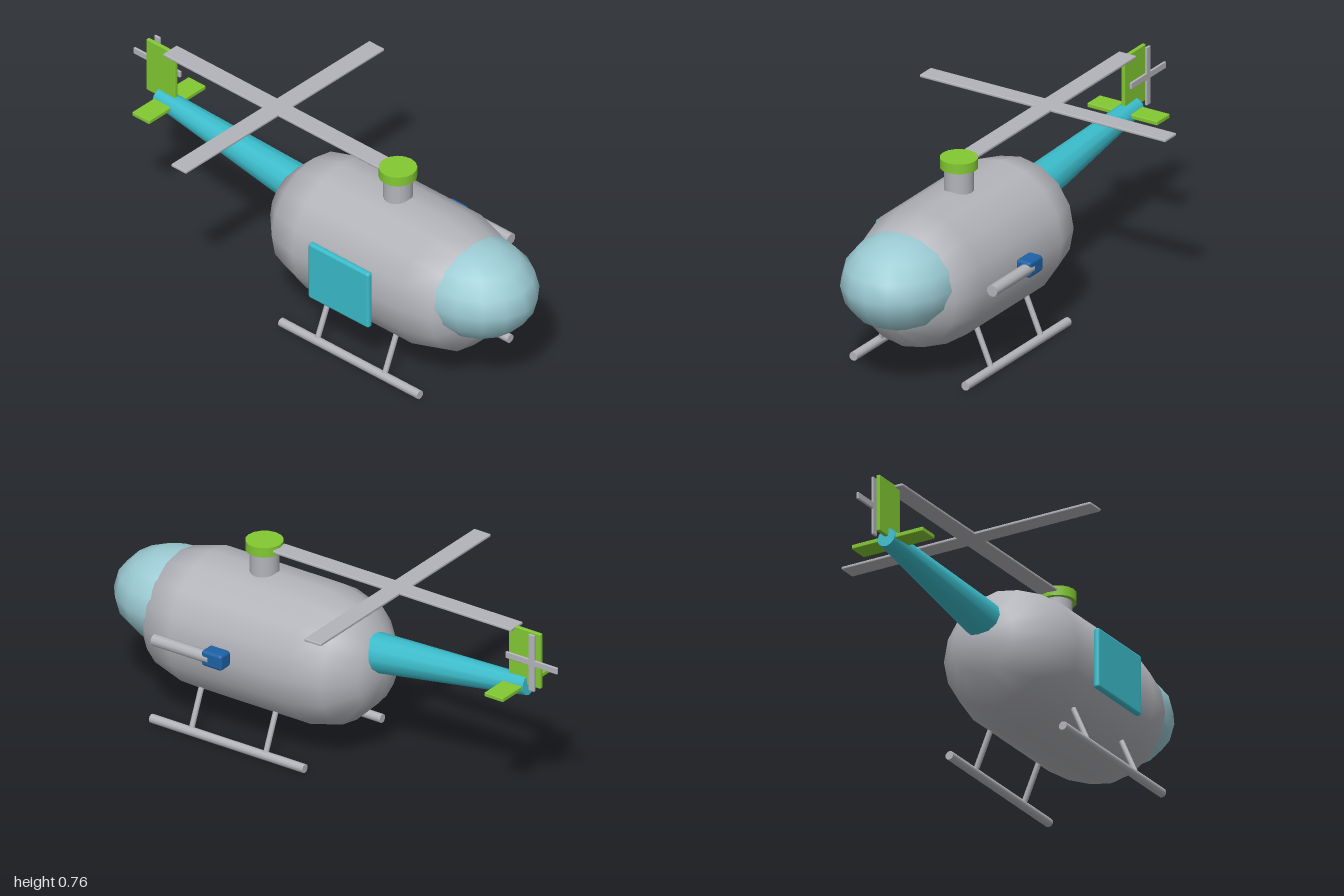
import * as THREE from 'three';
import { RoundedBoxGeometry } from 'three/addons/geometries/RoundedBoxGeometry.js';

const paint = (name, color) => {
  const m = new THREE.MeshStandardMaterial({ color });
  m.name = name;
  return m;
};

export function createModel() {
  const grey = paint('grey', 0xb3b4ba);
  const cyan = paint('cyan', 0x3bbccb);
  const glass = paint('pale blue glass', 0x9ccbd4);
  const green = paint('lime green', 0x82c832);
  const blue = paint('deep blue', 0x1d62a6);

  const model = new THREE.Group();
  model.name = 'helicopter';

  const add = (name, geometry, material, x = 0, y = 0, z = 0, parent = model) => {
    const mesh = new THREE.Mesh(geometry, material);
    mesh.name = name;
    mesh.position.set(x, y, z);
    parent.add(mesh);
    return mesh;
  };

  // Cylinder or cone running from point a to point b
  const rod = (name, material, a, b, ra, rb = ra, sides = 12, parent = model) => {
    const from = new THREE.Vector3(...a), to = new THREE.Vector3(...b);
    const dir = to.clone().sub(from);
    const mid = from.clone().add(to).multiplyScalar(0.5);
    const geometry = new THREE.CylinderGeometry(rb, ra, dir.length(), sides);
    const mesh = add(name, geometry, material, mid.x, mid.y, mid.z, parent);
    mesh.quaternion.setFromUnitVectors(new THREE.Vector3(0, 1, 0), dir.normalize());
    return mesh;
  };

  const box = (w, h, d, r) => new RoundedBoxGeometry(w, h, d, 2, r);

  // Fuselage and nose canopy
  const body = new THREE.CapsuleGeometry(0.27, 0.53, 3, 16).rotateX(Math.PI / 2);
  add('fuselage', body, grey, 0, 0.37, 0.335);
  const canopy = new THREE.SphereGeometry(1, 16, 8).scale(0.22, 0.184, 0.26);
  add('canopy', canopy, glass, 0, 0.414, 0.74);

  // Tail boom, fin and stabilizer
  rod('tailBoom', cyan, [0, 0.44, -0.1], [0, 0.515, -0.845], 0.08, 0.038);
  add('tailFin', box(0.016, 0.228, 0.145, 0.004), green, 0, 0.633, -0.832);
  add('stabilizer', box(0.31, 0.018, 0.086, 0.004), green, 0, 0.515, -0.797);

  // Tail rotor, a thin cross beside the fin
  const tailRotor = new THREE.Group();
  tailRotor.name = 'tailRotor';
  tailRotor.position.set(0.03, 0.633, -0.882);
  model.add(tailRotor);
  add('tailBladeUpright', box(0.01, 0.235, 0.027, 0.003), grey, 0, 0, 0, tailRotor);
  add('tailBladeLevel', box(0.01, 0.027, 0.235, 0.003), grey, 0, 0, 0, tailRotor);

  // Mast, hub and main rotor
  rod('mast', grey, [0, 0.58, 0.355], [0, 0.73, 0.355], 0.056, 0.056, 16);
  rod('hub', green, [0, 0.722, 0.355], [0, 0.761, 0.355], 0.072, 0.072, 16);
  const mainRotor = new THREE.Group();
  mainRotor.name = 'mainRotor';
  mainRotor.position.set(0, 0.743, -0.25);
  model.add(mainRotor);
  add('bladeLong', box(0.076, 0.012, 1.085, 0.004), grey, 0, 0, 0, mainRotor);
  add('bladeCross', box(1.085, 0.012, 0.076, 0.004), grey, 0, 0, 0, mainRotor);

  // Side door
  add('door', box(0.026, 0.245, 0.305, 0.011), cyan, -0.281, 0.358, 0.323);

  // Side launcher
  add('launcherBlock', box(0.064, 0.064, 0.092, 0.012), blue, 0.311, 0.398, 0.354);
  rod('launcherBarrel', grey, [0.323, 0.398, 0.37], [0.323, 0.398, 0.627], 0.023, 0.023, 10);

  // Landing skids, mirrored
  for (const s of [1, -1]) {
    const skid = new THREE.Group();
    skid.name = s > 0 ? 'leftSkid' : 'rightSkid';
    model.add(skid);
    rod('rail', grey, [s * 0.247, 0.018, -0.005], [s * 0.247, 0.018, 0.693], 0.0175, 0.0175, 10, skid);
    for (const z of [0.175, 0.513]) {
      rod('strut', grey, [s * 0.247, 0.02, z], [s * 0.165, 0.21, z], 0.011, 0.011, 8, skid);
    }
  }

  return model;
}
